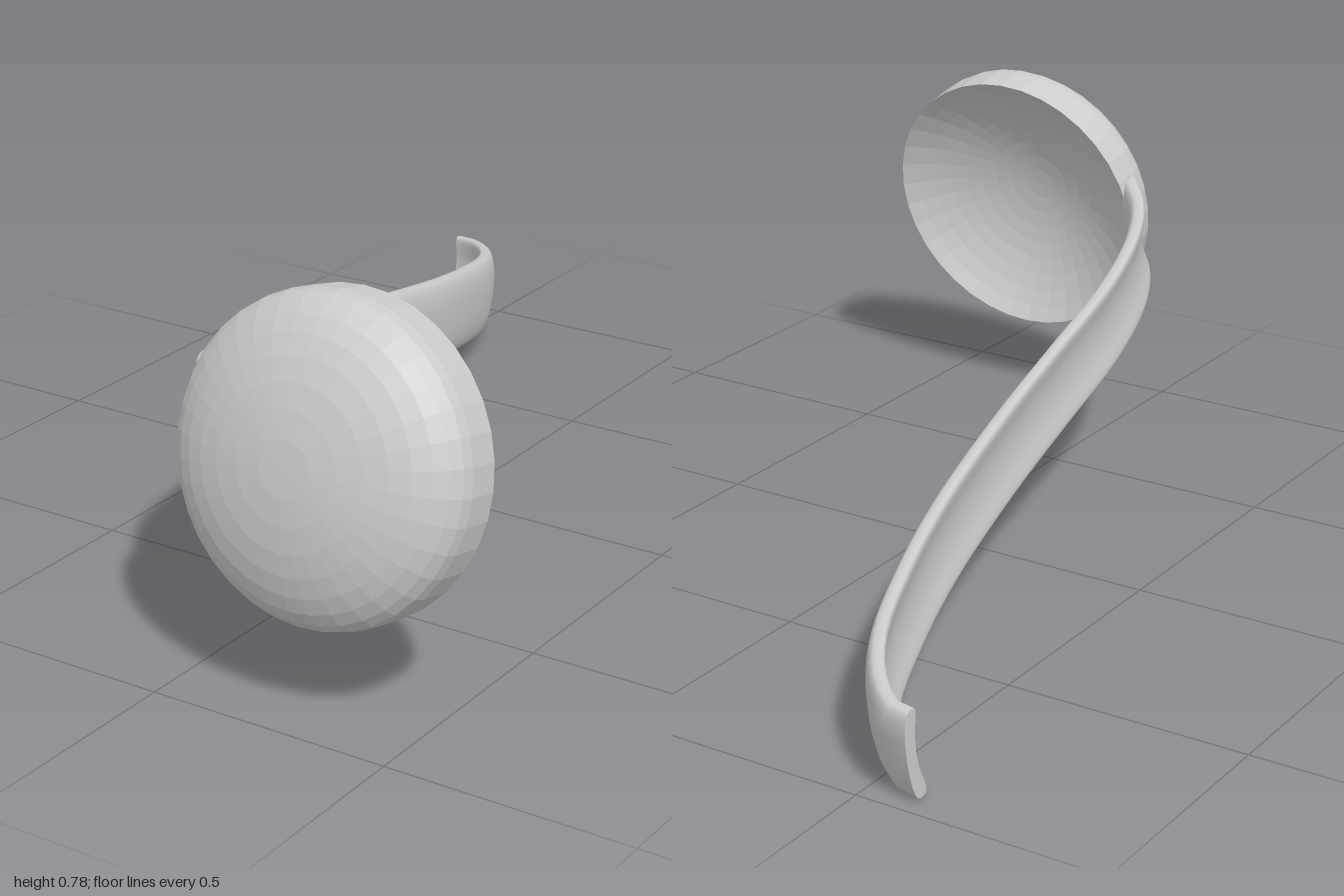
import * as THREE from 'three';

const TILT = -0.212;

// Handle section: u across (hollow side positive), v along its height;
// nearly flat back, hollow front and rounded lips
function lippedSection(sides, halfHeight) {
  return Array.from({ length: sides }, (_, j) => {
    const a = (j / sides) * Math.PI * 2;
    const v = -Math.sign(Math.cos(a)) * Math.abs(Math.cos(a)) ** 0.6;
    const s = Math.abs(Math.sin(a)) ** 0.6;
    const back = j < sides / 2;
    return [0.008 * v * v + (back ? -0.022 * s : 0.006 * s * (1 + 3 * v * v)), halfHeight * v];
  });
}

// Sweep an upright section along a path in the xz plane; both ends are cut square to x
function sweep(curve, section, steps) {
  const n = section.length;
  const positions = [];
  const index = [];
  const ring = (t) => {
    const p = curve.getPointAt(t);
    const d = curve.getTangentAt(t);
    for (const [u, v] of section) {
      if (t === 0 || t === 1) positions.push(p.x, v, p.z + u / d.x);
      else positions.push(p.x - d.z * u, v, p.z + d.x * u);
    }
  };
  for (let i = 0; i <= steps; i++) ring(i / steps);
  for (let i = 0; i < steps; i++) {
    for (let j = 0; j < n; j++) {
      const a = i * n + j, b = i * n + ((j + 1) % n);
      index.push(a, b, a + n, b, b + n, a + n);
    }
  }
  // End caps with their own vertices, so their edges stay sharp
  for (const end of [0, 1]) {
    const base = positions.length / 3;
    ring(end);
    for (let j = 0; j < n / 2; j++) {
      const a = base + j, b = base + j + 1;
      const c = base + n - j - 1, d = base + ((n - j) % n);
      if (end) index.push(a, b, c, a, c, d);
      else index.push(a, c, b, a, d, c);
    }
  }
  const geometry = new THREE.BufferGeometry();
  geometry.setAttribute('position', new THREE.Float32BufferAttribute(positions, 3));
  geometry.setIndex(index);
  geometry.computeVertexNormals();
  return geometry;
}

// Bowl: shallow round hollow, straight wall and flattened dome, opening towards the back
function bowlGeometry() {
  const R = 0.305, wall = 0.07, dome = 0.125, hollow = 0.12;
  const points = [];
  const r = (R * R + hollow * hollow) / (2 * hollow);
  const half = Math.asin(R / r);
  for (let i = 0; i <= 9; i++) {
    const a = (i / 9) * half;
    points.push(new THREE.Vector2(r * Math.sin(a), hollow - r + r * Math.cos(a)));
  }
  for (let i = 0; i <= 9; i++) {
    const a = (i / 9) * Math.PI / 2;
    points.push(new THREE.Vector2(Math.max(0, R * Math.cos(a)), wall + dome * Math.sin(a)));
  }
  return new THREE.LatheGeometry(points, 36).rotateX(Math.PI / 2);
}

export function createModel() {
  const model = new THREE.Group();
  model.name = 'ladle';

  // S-shaped handle, from the free tip to the bowl
  const path = new THREE.CatmullRomCurve3([
    [-0.6, -0.99], [-0.56, -0.984], [-0.49, -0.925], [-0.415, -0.81], [-0.345, -0.615],
    [-0.29, -0.4], [-0.24, -0.1], [-0.21, 0.15], [-0.18, 0.41], [-0.13, 0.62],
    [-0.07, 0.755], [0.0, 0.845],
  ].map(([x, z]) => new THREE.Vector3(x, 0, z)));
  const handle = new THREE.Mesh(
    sweep(path, lippedSection(32, 0.093), 44),
    new THREE.MeshStandardMaterial({ color: 0xcccccc, side: THREE.DoubleSide })
  );
  handle.name = 'handle';

  const bowl = new THREE.Mesh(
    bowlGeometry(),
    new THREE.MeshStandardMaterial({ color: 0xcccccc, flatShading: true, side: THREE.DoubleSide })
  );
  bowl.name = 'bowl';
  bowl.position.set(0.288, -0.007, 0.812);

  // The whole ladle leans up towards the bowl
  const body = new THREE.Group();
  body.name = 'tiltedBody';
  body.add(handle, bowl);
  body.rotation.x = TILT;
  body.position.y = 0.298;
  model.add(body);
  return model;
}
